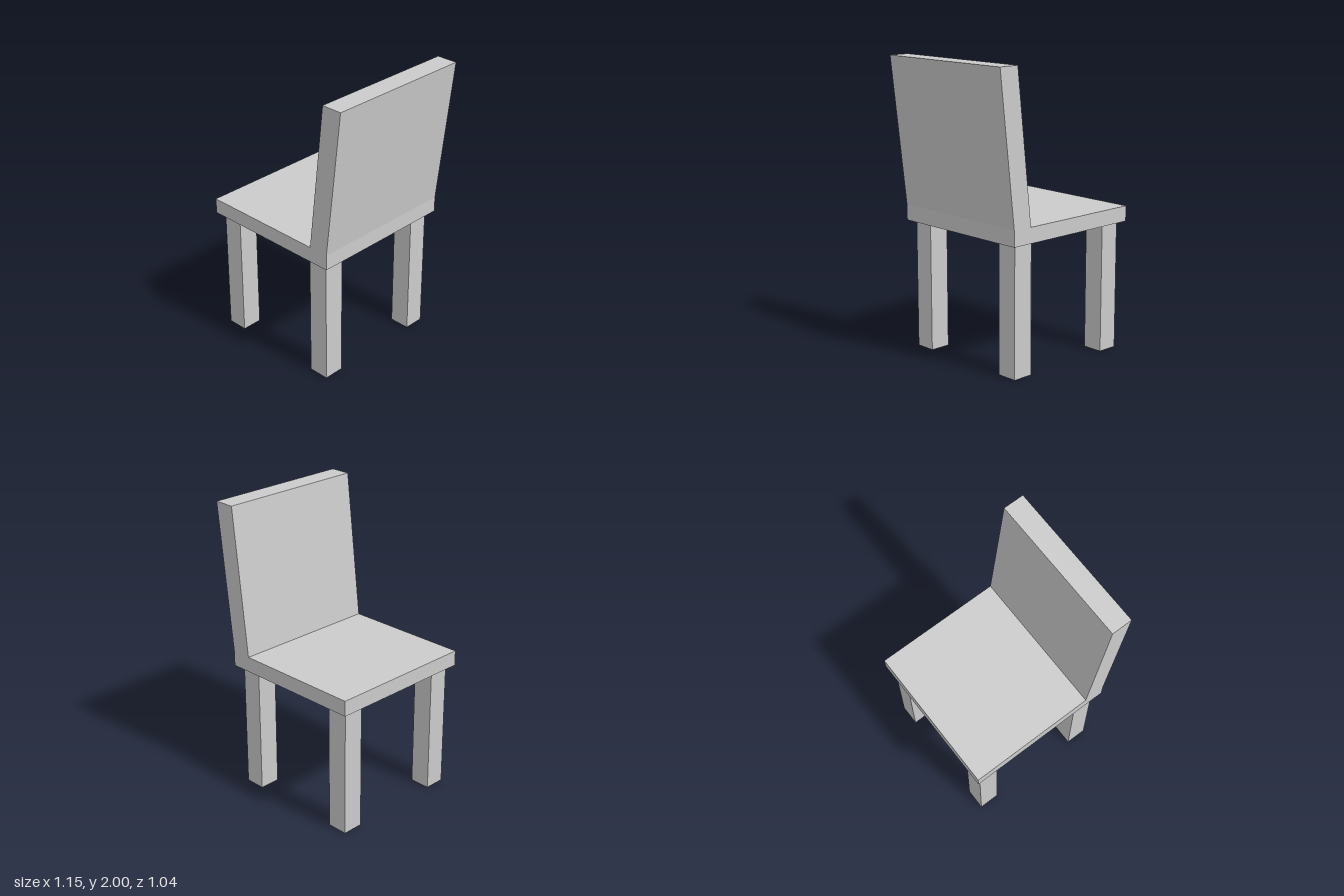
import * as THREE from 'three';

export function createModel() {
  const group = new THREE.Group();
  const material = new THREE.MeshStandardMaterial({ color: 0xcccccc, flatShading: true });

  // Seat and reclined backrest: one side profile extruded across the width
  const width = 1.04;
  const profile = new THREE.Shape([
    [-0.577, 0.885], [0.46, 0.885], [0.46, 0.99], [0.577, 2],
    [0.432, 2], [0.317, 0.99], [-0.577, 0.99],
  ].map(([x, y]) => new THREE.Vector2(x, y)));
  const bodyGeometry = new THREE.ExtrudeGeometry(profile, { depth: width, bevelEnabled: false });
  bodyGeometry.translate(0, 0, -width / 2);
  const body = new THREE.Mesh(bodyGeometry, material);
  body.name = 'seatAndBackrest';
  group.add(body);

  // Four square legs, the backrest being on the +x side
  const legHeight = 0.885;
  const legGeometry = new THREE.BoxGeometry(0.144, legHeight, 0.144);
  for (const [x, end] of [[-0.463, 'front'], [0.342, 'rear']]) {
    for (const side of [-1, 1]) {
      const leg = new THREE.Mesh(legGeometry, material);
      leg.name = `${end}Leg${side > 0 ? 'A' : 'B'}`;
      leg.position.set(x, legHeight / 2, side * 0.404);
      group.add(leg);
    }
  }

  return group;
}
